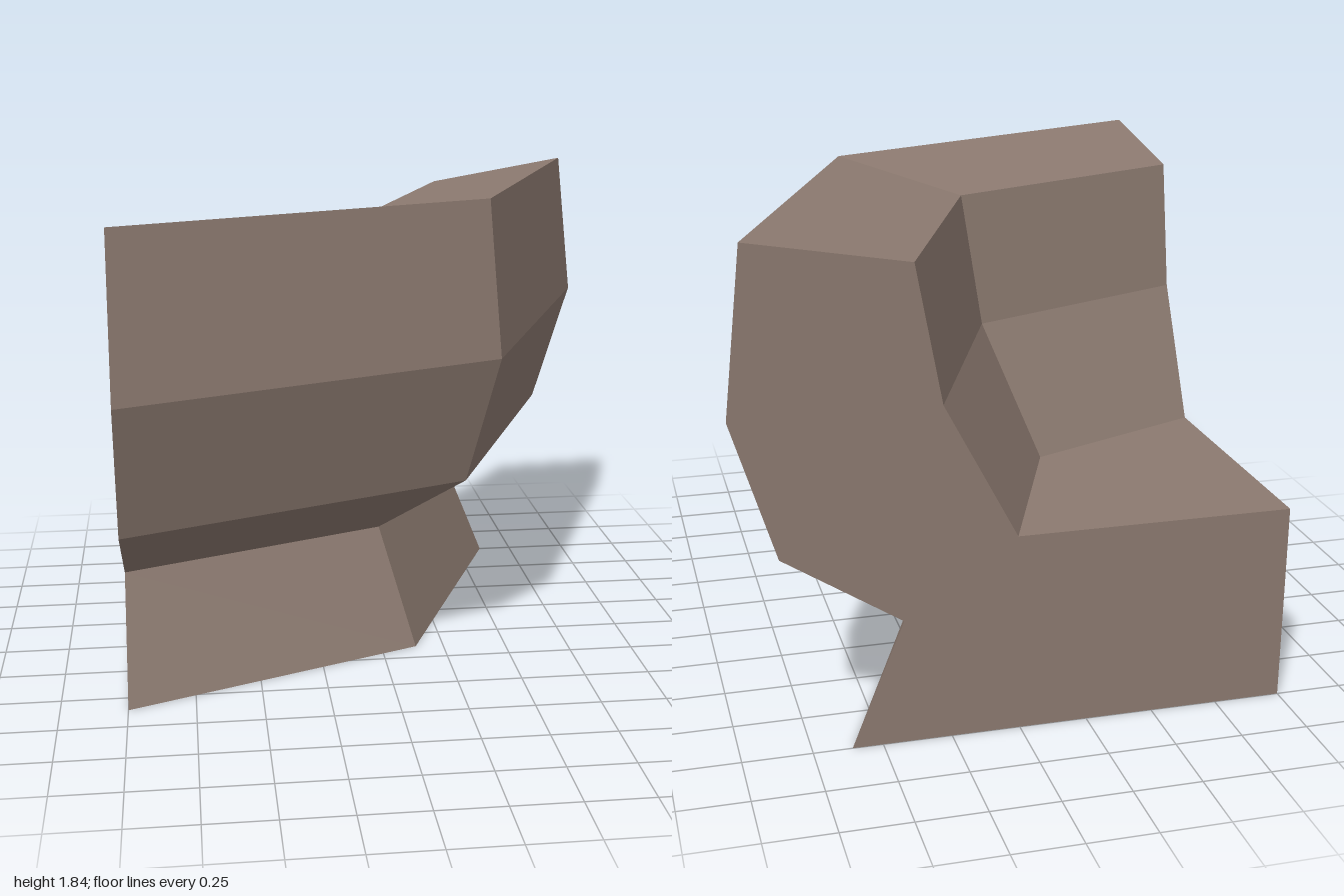
import * as THREE from 'three';

// Half-section of the basin as [radius, height] pairs
const pedestal = [[0, 0], [1.61, 0], [1.42, 0.47]];
const outerWall = [[1.42, 0.47], [1.845, 0.745], [2, 1.245], [1.937, 1.835]];
const rim = [[1.937, 1.835], [1.375, 1.738]];
const innerWall = [[1.375, 1.738], [1.28, 1.245], [1.015, 0.745]];
const floor = [[1.015, 0.745], [0, 0.745]];

export function createModel() {
  const group = new THREE.Group();
  const stone = new THREE.MeshStandardMaterial({ color: 0x8c7a70 });
  stone.name = 'brown stone';

  const add = (name, geometry) => {
    const mesh = new THREE.Mesh(geometry, stone);
    mesh.name = name;
    mesh.position.set(-1, 0, -1);
    group.add(mesh);
  };

  // Each band turns a quarter circle in two flat facets
  const parts = { pedestal, outerWall, rim, innerWall, floor };
  for (const [name, points] of Object.entries(parts)) {
    const profile = points.map(([r, y]) => new THREE.Vector2(r, y));
    const band = new THREE.LatheGeometry(profile, 2, 0, Math.PI / 2).toNonIndexed();
    band.computeVertexNormals();
    add(name, band);
  }

  // Flat cut faces at both ends of the quarter
  const outline = [...pedestal, ...outerWall.slice(1), ...rim.slice(1), ...innerWall.slice(1), [0, 0.745]];
  const section = (side) => new THREE.ShapeGeometry(
    new THREE.Shape(outline.map(([r, y]) => new THREE.Vector2(side * r, y))));
  add('rightCutFace', section(1).rotateY(-Math.PI / 2));
  add('backCutFace', section(-1).rotateY(Math.PI));

  return group;
}
